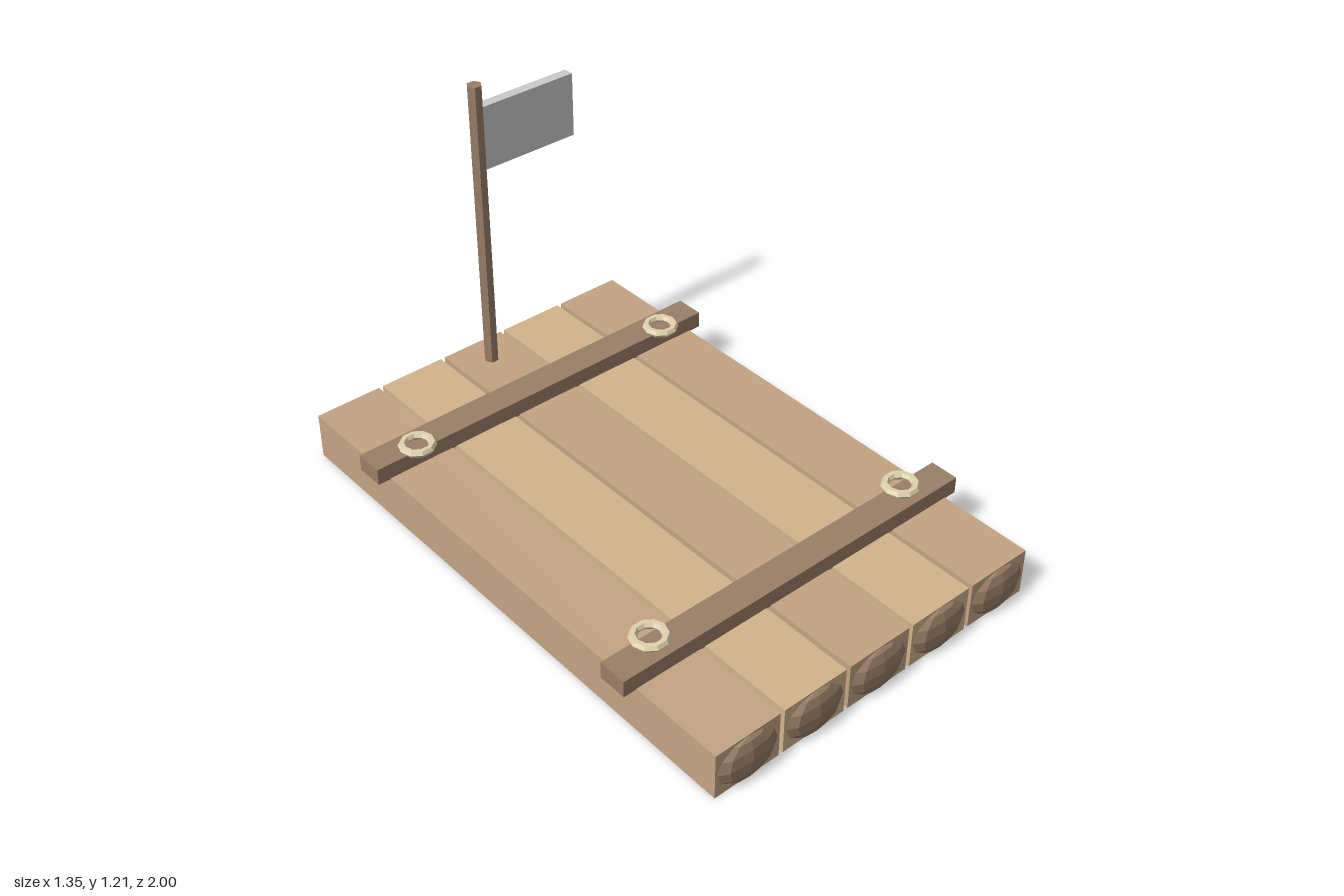
import * as THREE from 'three';

const mat = (color) => new THREE.MeshStandardMaterial({ color, flatShading: true });

export function createModel() {
  const raft = new THREE.Group();
  raft.name = 'raft';
  const tan = mat(0xc4a484), pale = mat(0xd2b48c), brown = mat(0x9a7f68);
  const rope = mat(0xe0d3ae), grey = mat(0xcccccc);

  const add = (name, geometry, material, x, y, z) => {
    const mesh = new THREE.Mesh(geometry, material);
    mesh.name = name;
    mesh.position.set(x, y, z);
    raft.add(mesh);
    return mesh;
  };

  // Five deck logs in alternating wood, each with a faceted bulge on both ends
  const logGeo = new THREE.BoxGeometry(0.238, 0.164, 1.95);
  const endGeo = new THREE.SphereGeometry(1, 8, 6).scale(0.112, 0.08, 0.025);
  for (let i = -2; i <= 2; i++) {
    const x = i * 0.254;
    add('log', logGeo, i % 2 ? pale : tan, x, 0.082, 0);
    for (const s of [1, -1]) add('logEnd', endGeo, brown, x, 0.082, s * 0.975);
  }

  // Crossbars with a rope ring near each end
  const barGeo = new THREE.BoxGeometry(1.345, 0.058, 0.1);
  const ringGeo = new THREE.TorusGeometry(0.049, 0.014, 6, 10).rotateX(Math.PI / 2);
  for (const s of [1, -1]) {
    add('crossbar', barGeo, brown, 0, 0.19, s * 0.6);
    for (const side of [1, -1]) add('ropeRing', ringGeo, rope, side * 0.508, 0.228, s * 0.567);
  }

  // Six-sided mast and flag at the rear
  add('mast', new THREE.CylinderGeometry(0.025, 0.025, 1.05, 6, 1, false, Math.PI / 6), brown, 0, 0.685, -0.865);
  add('flag', new THREE.BoxGeometry(0.358, 0.224, 0.036), grey, 0.192, 1.021, -0.865);

  return raft;
}
